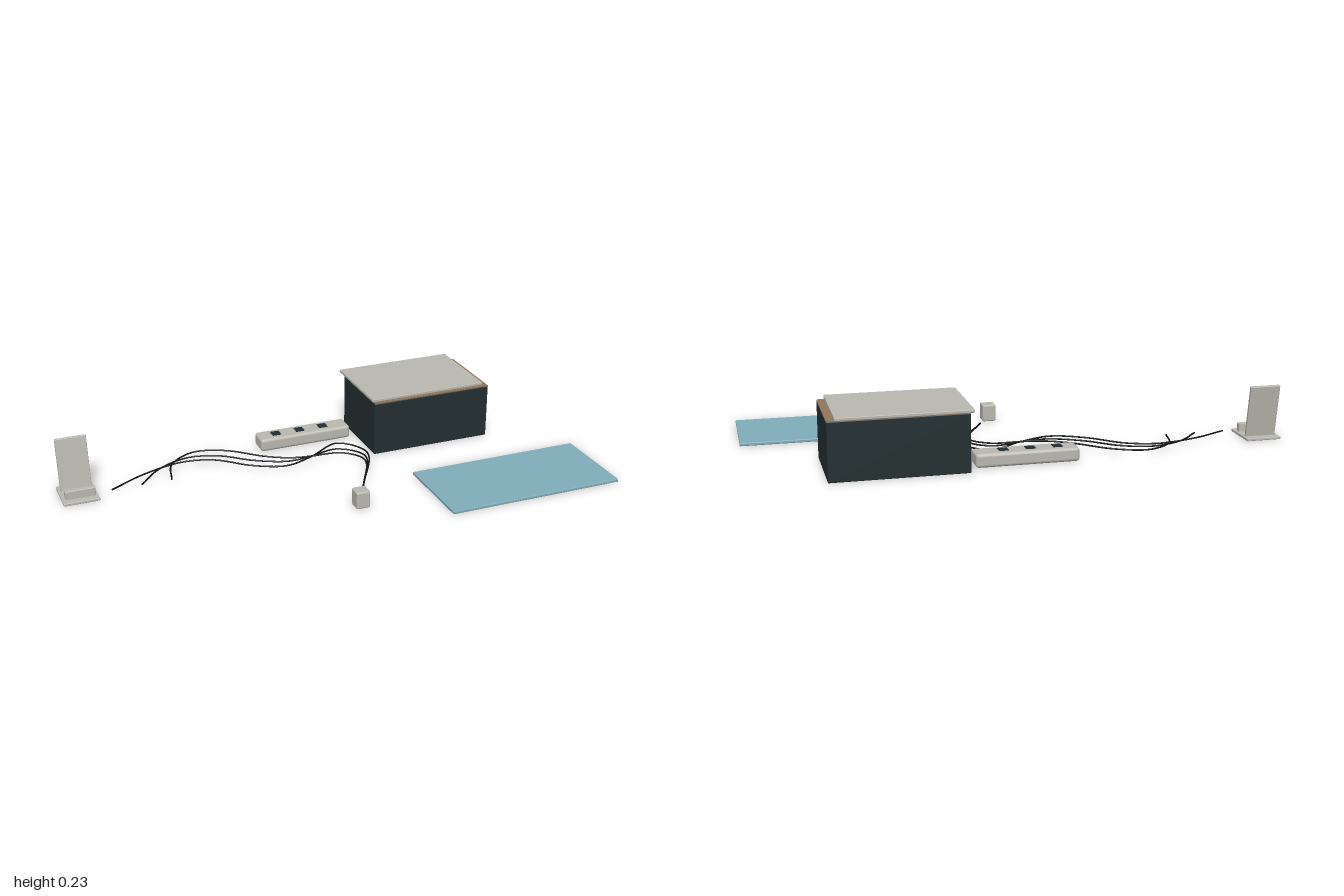
import * as THREE from 'three';
import { RoundedBoxGeometry } from 'three/addons/geometries/RoundedBoxGeometry.js';

const mat = (name, color) => new THREE.MeshStandardMaterial({ name, color });

export function createModel() {
  const group = new THREE.Group();
  const grey = mat('warm grey plastic', 0xbab9b0);
  const dark = mat('dark slate', 0x232e30);
  const brown = mat('brown liner', 0x92775a);
  const blue = mat('soft blue', 0x80aeba);
  const black = mat('cable black', 0x111414);

  // Box given by its extents, with an optional edge radius
  function block(name, material, [x0, x1], [y0, y1], [z0, z1], r = 0) {
    const w = x1 - x0, h = y1 - y0, d = z1 - z0;
    const geo = r ? new RoundedBoxGeometry(w, h, d, 2, r) : new THREE.BoxGeometry(w, h, d);
    const mesh = new THREE.Mesh(geo, material);
    mesh.name = name;
    mesh.position.set((x0 + x1) / 2, (y0 + y1) / 2, (z0 + z1) / 2);
    group.add(mesh);
    return mesh;
  }

  // Storage box, its liner and the shifted lid
  block('storageBox', dark, [0.233, 0.731], [0, 0.215], [-0.425, -0.112], 0.003);
  block('boxLiner', brown, [0.236, 0.731], [0.213, 0.219], [-0.424, -0.114]);
  block('boxLid', grey, [0.225, 0.706], [0.224, 0.235], [-0.455, -0.115], 0.002);

  // Desk mat
  block('deskMat', blue, [0.3, 1], [0, 0.012], [0.108, 0.455], 0.003);

  // Power strip with three sockets
  block('powerStrip', grey, [-0.175, 0.206], [0, 0.052], [-0.381, -0.295], 0.012);
  for (const x of [-0.1, 0, 0.1]) {
    block('socket', dark, [x - 0.018, x + 0.018], [0.049, 0.054], [-0.356, -0.32]);
  }

  // Charger cube
  block('chargerCube', grey, [-0.012, 0.042], [0, 0.067], [0.238, 0.292], 0.006);

  // Phone stand: base, front lip and a back plate that leans backwards
  block('standBase', grey, [-1, -0.864], [0, 0.011], [-0.283, -0.13], 0.003);
  block('standLip', grey, [-0.987, -0.873], [0.009, 0.043], [-0.184, -0.16], 0.003);
  const plate = block('standBackPlate', grey, [-0.99, -0.872], [0.006, 0.211], [-0.265, -0.251], 0.003);
  plate.rotation.x = -0.15;

  // Three loose cables meeting at one end, as [x, z] points along the floor
  const cables = [
    [[-0.81, -0.17], [-0.66, -0.25], [-0.5, -0.29], [-0.385, -0.26], [-0.26, -0.155],
      [-0.14, -0.105], [-0.02, -0.147], [0.12, -0.225], [0.2, -0.12], [0.07, 0.16]],
    [[-0.695, -0.17], [-0.6, -0.27], [-0.475, -0.32], [-0.36, -0.29], [-0.24, -0.195],
      [-0.12, -0.14], [-0.02, -0.15], [0.1, -0.175], [0.18, -0.09], [0.07, 0.16]],
    [[-0.58, -0.17], [-0.545, -0.29], [-0.44, -0.36], [-0.32, -0.325], [-0.19, -0.215],
      [-0.1, -0.165], [-0.02, -0.15], [0.1, -0.138], [0.165, -0.06], [0.07, 0.16]],
  ];
  for (const pts of cables) {
    const path = new THREE.CatmullRomCurve3(pts.map(([x, z], i) =>
      new THREE.Vector3(x, 0.016 + 0.006 * Math.sin(Math.PI * i / (pts.length - 1)), z)));
    const cable = new THREE.Mesh(new THREE.TubeGeometry(path, 100, 0.0032, 8), black);
    cable.name = 'cable';
    group.add(cable);
    // Flat caps close both ends
    for (const t of [0, 1]) {
      const cap = new THREE.Mesh(new THREE.CircleGeometry(0.0032, 8), black);
      cap.name = 'cableEnd';
      const p = path.getPoint(t);
      cap.position.copy(p);
      cap.lookAt(p.add(path.getTangent(t).multiplyScalar(t ? 1 : -1)));
      group.add(cap);
    }
  }
  return group;
}
